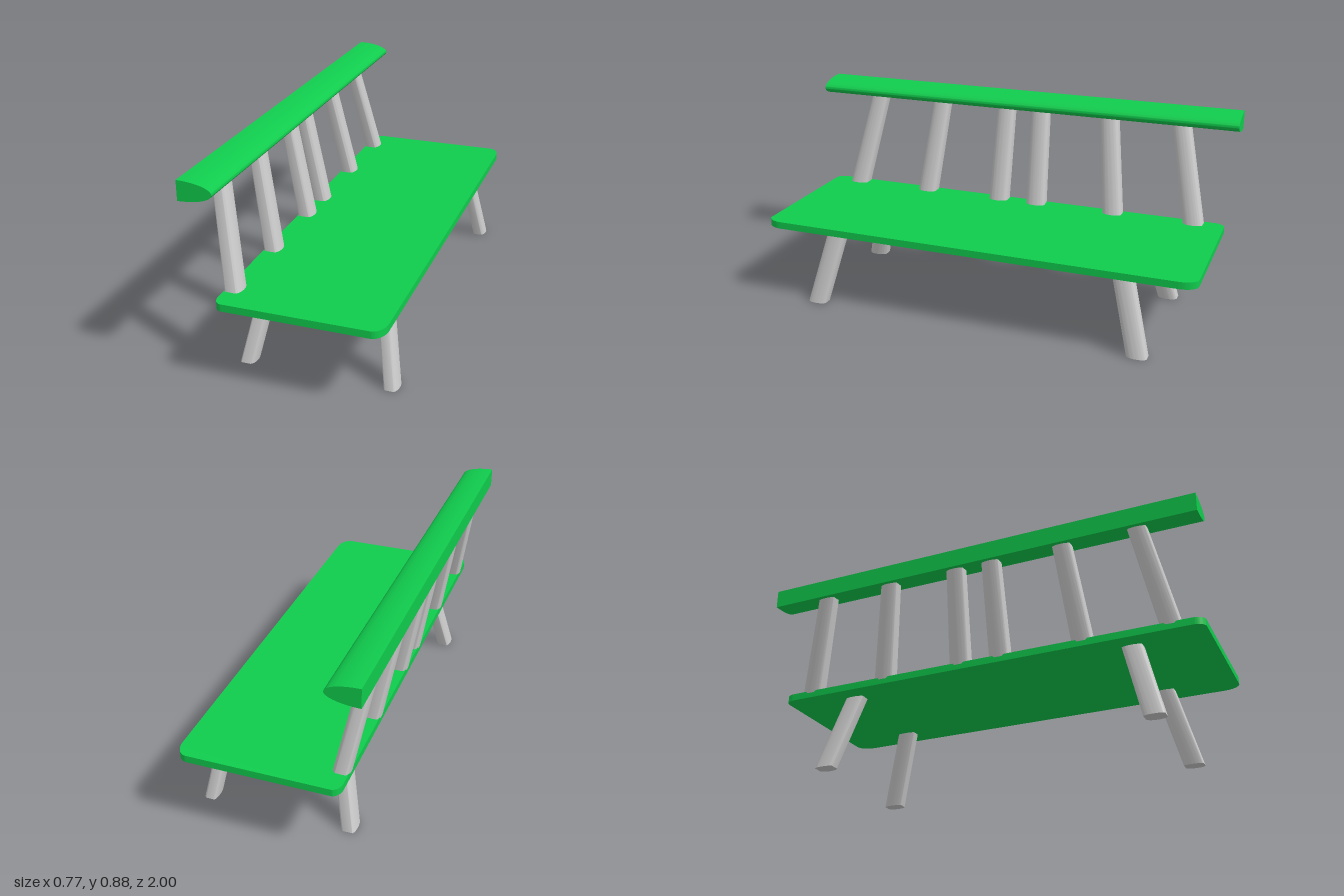
import * as THREE from 'three';
import { toCreasedNormals } from 'three/addons/utils/BufferGeometryUtils.js';

const green = new THREE.MeshStandardMaterial({ color: 0x10cc4d });
const grey = new THREE.MeshStandardMaterial({ color: 0xcccccc });

// Stick outline: flat sides, full curve at the front (+x), shallower curve at the back
function stickShape() {
  const s = new THREE.Shape();
  s.moveTo(-0.32, -0.5);
  s.lineTo(0.2, -0.5);
  s.absellipse(0.2, 0, 0.3, 0.5, -Math.PI / 2, Math.PI / 2, false);
  s.lineTo(-0.32, 0.5);
  s.absellipse(-0.32, 0, 0.18, 0.5, Math.PI / 2, Math.PI * 1.5, false);
  return s;
}

// Slanted, tapered stick; each end is { x, y, z, w (along x), d (along z) }
function stick(name, a, b) {
  const geo = new THREE.ExtrudeGeometry(stickShape(), { depth: 1, bevelEnabled: false, curveSegments: 10 });
  geo.rotateX(-Math.PI / 2);
  const p = geo.attributes.position;
  const mix = THREE.MathUtils.lerp;
  for (let i = 0; i < p.count; i++) {
    const t = p.getY(i);
    p.setXYZ(i,
      mix(a.x, b.x, t) + p.getX(i) * mix(a.w, b.w, t),
      mix(a.y, b.y, t),
      mix(a.z, b.z, t) + p.getZ(i) * mix(a.d, b.d, t));
  }
  const mesh = new THREE.Mesh(toCreasedNormals(geo, 0.6), grey);
  mesh.name = name;
  return mesh;
}

function createSeat() {
  const x0 = -0.295, x1 = 0.385, z = 0.97, rx = 0.05, rz = 0.075, bx = 0.035, bz = 0.05;
  const s = new THREE.Shape();
  s.moveTo(x0 + bx, -z);
  s.lineTo(x1 - rx, -z);
  s.absellipse(x1 - rx, -z + rz, rx, rz, -Math.PI / 2, 0, false);
  s.absellipse(x1 - rx, z - rz, rx, rz, 0, Math.PI / 2, false);
  s.absellipse(x0 + bx, z - bz, bx, bz, Math.PI / 2, Math.PI, false);
  s.absellipse(x0 + bx, -z + bz, bx, bz, Math.PI, Math.PI * 1.5, false);
  const geo = new THREE.ExtrudeGeometry(s, { depth: 0.031, bevelEnabled: false, curveSegments: 8 });
  geo.rotateX(-Math.PI / 2).translate(0, 0.342, 0);
  const seat = new THREE.Mesh(toCreasedNormals(geo, 0.6), green);
  seat.name = 'seat';
  return seat;
}

function createTopRail() {
  // Flat back, half-oval front
  const s = new THREE.Shape();
  s.absellipse(-0.39, 0.834, 0.14, 0.041, -Math.PI / 2, Math.PI / 2, false);
  s.closePath();
  const geo = new THREE.ExtrudeGeometry(s, { depth: 2, bevelEnabled: false, curveSegments: 24 });
  geo.translate(0, 0, -1);
  const rail = new THREE.Mesh(toCreasedNormals(geo, 0.6), green);
  rail.name = 'topRail';
  return rail;
}

export function createModel() {
  const bench = new THREE.Group();
  bench.name = 'bench';
  bench.add(createSeat(), createTopRail());

  for (const side of [1, -1]) {
    // Splayed legs
    bench.add(
      stick('backLeg',
        { x: -0.258, y: 0, z: 0.742 * side, w: 0.068, d: 0.087 },
        { x: -0.188, y: 0.35, z: 0.649 * side, w: 0.068, d: 0.087 }),
      stick('frontLeg',
        { x: 0.353, y: 0, z: 0.742 * side, w: 0.061, d: 0.087 },
        { x: 0.292, y: 0.35, z: 0.649 * side, w: 0.058, d: 0.087 }));

    // Spindles fan outwards towards the seat
    for (const [low, high] of [[0.834, 0.737], [0.463, 0.41], [0.093, 0.084]]) {
      bench.add(stick('backSpindle',
        { x: -0.26, y: 0.365, z: low * side, w: 0.072, d: 0.088 },
        { x: -0.345, y: 0.815, z: high * side, w: 0.063, d: 0.08 }));
    }
  }
  return bench;
}
